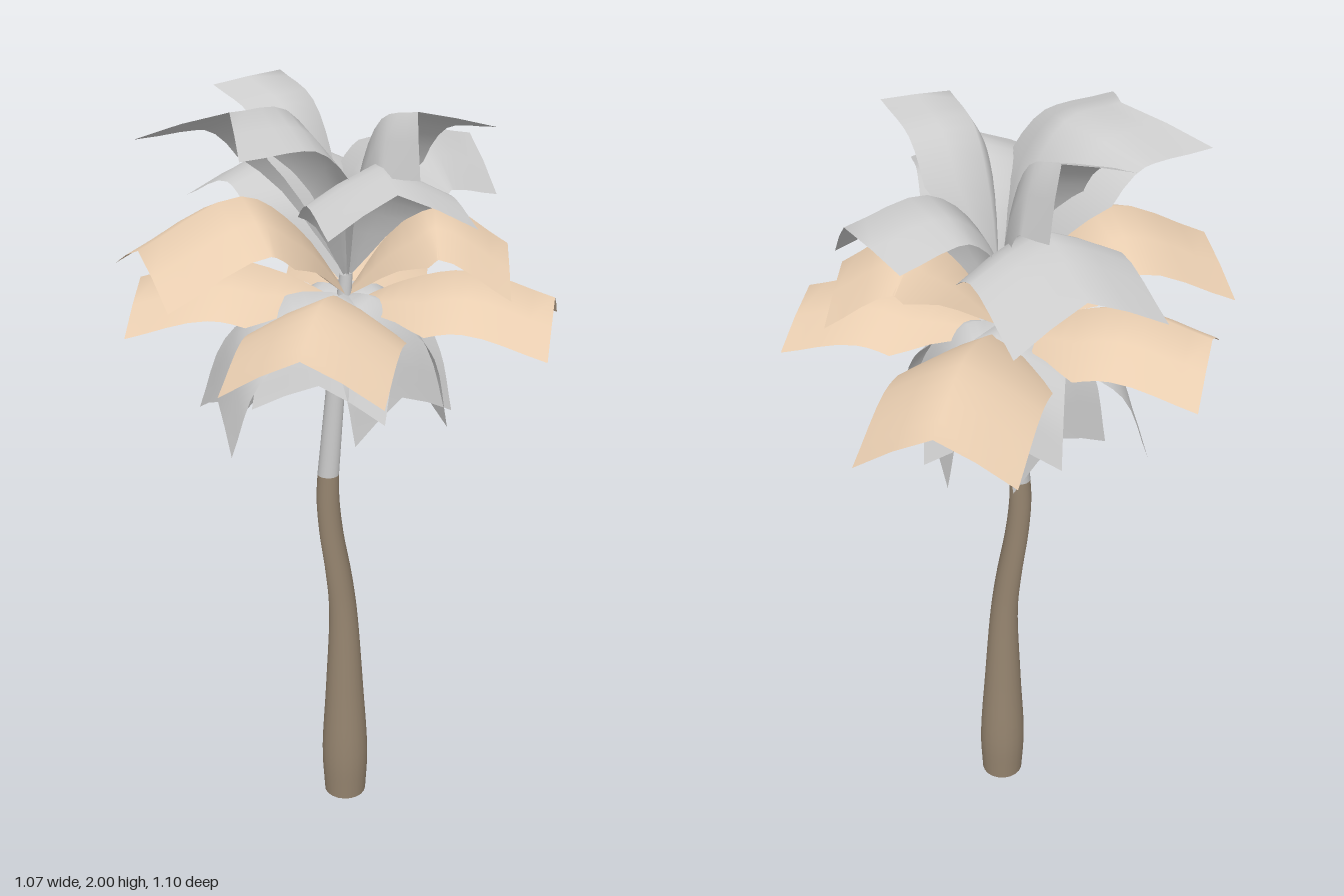
import * as THREE from 'three';

const GREY = 0xcccccc, TAN = 0xe8cdb0, BARK = 0x95846f;
const ROOT = [0.01, 0.03]; // x, z of the crown
const rad = THREE.MathUtils.degToRad;

const material = (color) => new THREE.MeshStandardMaterial({ color, side: THREE.DoubleSide });

// A softly folded leaf lofted along a spine of [distance from trunk, height].
// fold drops both halves, roll tips the leaf sideways, notch pushes the tip corners outward.
function frond(name, color, yaw, spine, width, fold, notch = 0, roll = 0) {
  const curve = new THREE.CatmullRomCurve3(spine.map(([r, y]) => new THREE.Vector3(r, y, 0)));
  const c = Math.cos(rad(yaw)), s = Math.sin(rad(yaw));
  const rows = 12, across = [-1, -0.5, 0, 0.5, 1], n = across.length;
  const pos = [], index = [];
  for (let i = 0; i <= rows; i++) {
    const t = i / rows;
    const p = curve.getPoint(t);
    const w = width * Math.min(1, 0.06 + t * 2.3);
    // where the spine climbs, the halves fold outward instead of down
    const out = Math.max(0, curve.getTangent(t).y);
    const down = Math.sqrt(1 - out * out);
    for (const u of across) {
      const angle = rad(fold + Math.sign(u) * roll);
      const side = u * w * Math.cos(angle);
      const drop = w * Math.sin(angle) * Math.abs(u) ** 1.2;
      const r = p.x + drop * out + notch * Math.abs(u) * t * t;
      pos.push(ROOT[0] + r * c - side * s, p.y - drop * down, ROOT[1] + r * s + side * c);
    }
  }
  for (let i = 0; i < rows; i++) {
    for (let j = 0; j < n - 1; j++) {
      const a = i * n + j, b = a + 1, d = a + n, e = d + 1;
      index.push(a, b, d, b, e, d);
    }
  }
  const geo = new THREE.BufferGeometry();
  geo.setAttribute('position', new THREE.Float32BufferAttribute(pos, 3));
  geo.setIndex(index);
  geo.computeVertexNormals();
  const mesh = new THREE.Mesh(geo, material(color));
  mesh.name = name;
  return mesh;
}

// Open trunk section: a turned profile whose rings follow a sideways bend. Rows: [y, radius, centre x]
function trunkSection(name, color, rows) {
  const curve = new THREE.CatmullRomCurve3(rows.map((p) => new THREE.Vector3(...p)));
  const pts = curve.getPoints(rows.length * 4);
  const geo = new THREE.LatheGeometry(pts.map((p) => new THREE.Vector2(p.y, p.x)), 20);
  const pos = geo.attributes.position;
  for (let i = 0; i < pos.count; i++) {
    pos.setX(i, pos.getX(i) + pts[i % pts.length].z);
    pos.setZ(i, pos.getZ(i) + 0.033);
  }
  const mesh = new THREE.Mesh(geo, material(color));
  mesh.name = name;
  return mesh;
}

export function createModel() {
  const model = new THREE.Group();
  model.name = 'palmTree';

  // Trunk
  model.add(trunkSection('lowerTrunk', BARK, [
    [0, 0.058, 0.009], [0.13, 0.064, 0.008], [0.35, 0.052, 0.006], [0.6, 0.038, 0],
    [0.72, 0.035, -0.015], [0.85, 0.032, -0.038], [0.95, 0.03, -0.048], [1.02, 0.028, -0.047],
  ]));
  model.add(trunkSection('upperTrunk', GREY, [
    [1.02, 0.028, -0.047], [1.2, 0.025, -0.03], [1.4, 0.022, -0.01], [1.55, 0.016, 0.006],
  ]));

  // Upper fronds, arching up and out
  const upper = [
    [-90, [[0, 1.53], [0.08, 1.74], [0.23, 1.83], [0.44, 1.75]], 0.205, 23, 0.03],
    [-6, [[0, 1.55], [0.06, 1.76], [0.19, 1.87], [0.4, 1.84]], 0.19, 28, -0.04, 12],
    [173, [[0, 1.55], [0.07, 1.82], [0.18, 1.97], [0.34, 1.985]], 0.21, 18, 0.12, 3],
    [107, [[0, 1.55], [0.09, 1.77], [0.22, 1.87], [0.385, 1.84]], 0.185, 24, 0.05],
    [90, [[0, 1.55], [0.05, 1.8], [0.14, 1.95], [0.28, 1.99]], 0.145, 35, 0.09, 22],
    [-93, [[0, 1.55], [0.05, 1.8], [0.14, 1.95], [0.28, 2.0]], 0.16, 35, 0.05, 24],
  ];
  for (const f of upper) model.add(frond('upperFrond', GREY, ...f));

  // Middle fronds: four low and wide, two lifted higher
  for (const [yaw, r] of [[-51, 0.595], [-140, 0.52], [134, 0.54], [44, 0.51]]) {
    const spine = [[0, 1.47], [r * 0.3, 1.545], [r * 0.6, 1.575], [r, 1.52]];
    model.add(frond('middleFrond', TAN, yaw, spine, 0.21, 28));
  }
  model.add(frond('middleFrond', TAN, 189,
    [[0, 1.5], [0.13, 1.68], [0.27, 1.77], [0.525, 1.67]], 0.225, 23));
  model.add(frond('middleFrond', TAN, 35,
    [[0, 1.5], [0.11, 1.66], [0.21, 1.73], [0.39, 1.63]], 0.205, 25));

  // Lower fronds, drooping beside the trunk: [yaw, reach, tip height]
  const lower = [[5, 0.19, 1.24], [80, 0.2, 1.28], [140, 0.23, 1.34], [195, 0.335, 1.25],
    [250, 0.2, 1.25], [300, 0.22, 1.3]];
  for (const [yaw, r, y] of lower) {
    const spine = [[0, 1.5], [r * 0.45, 1.51], [r * 0.8, 1.43], [r, y]];
    model.add(frond('lowerFrond', GREY, yaw, spine, 0.185, 25, 0.01));
  }
  return model;
}
